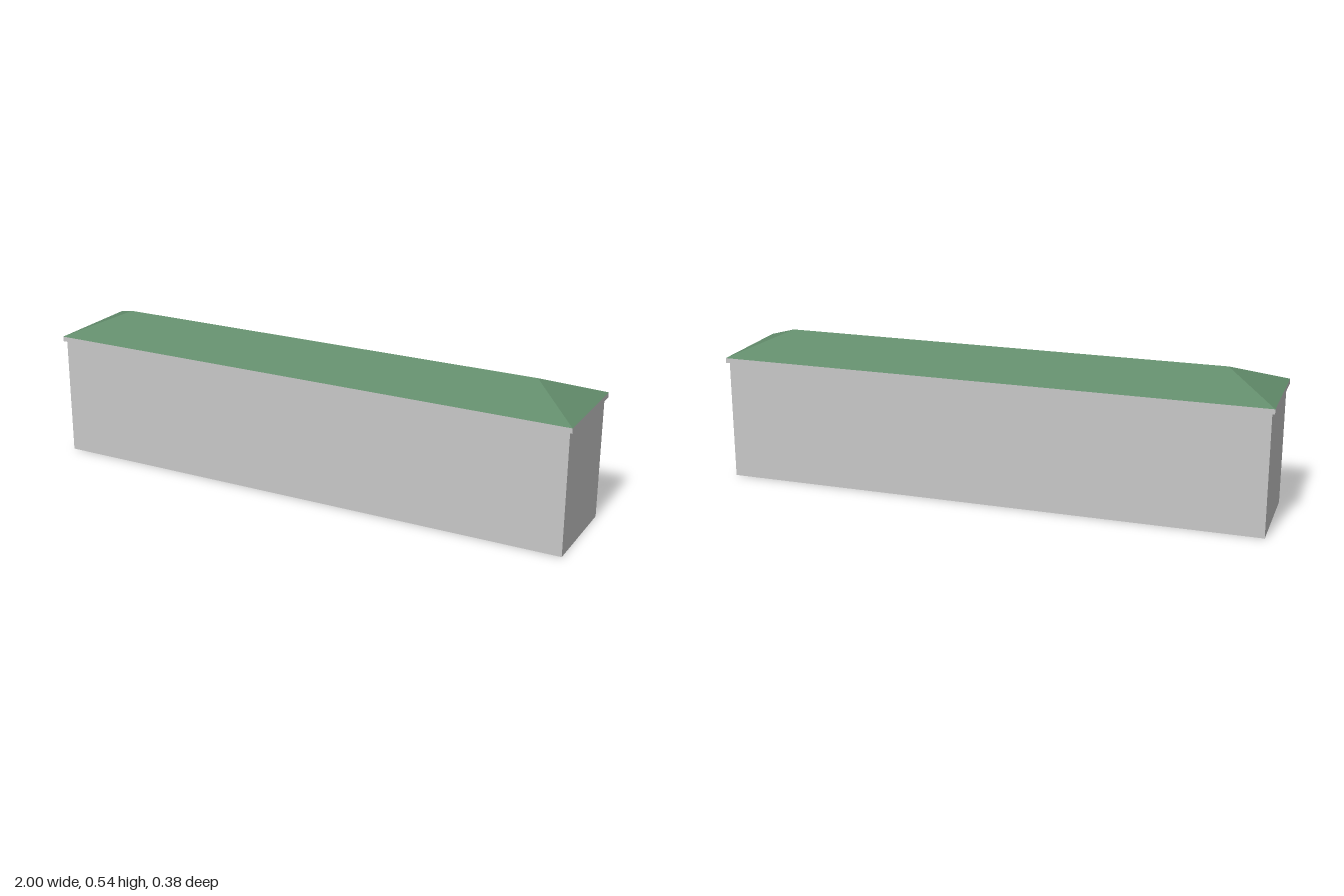
import * as THREE from 'three';

// Four corners of a level rectangle, counter-clockwise seen from above
const ring = (hx, y, hz) => [[-hx, y, hz], [hx, y, hz], [hx, y, -hz], [-hx, y, -hz]]
  .map((p) => new THREE.Vector3(...p));

// Flat-sided band joining a lower ring to an upper ring, facing outward
function band(lower, upper) {
  const points = [];
  for (let i = 0; i < 4; i++) {
    const j = (i + 1) % 4;
    points.push(lower[i], lower[j], upper[j]);
    // at a hip end the upper edge is a single point, so one triangle is enough
    if (upper[i].distanceTo(upper[j]) > 1e-6) points.push(lower[i], upper[j], upper[i]);
  }
  const geometry = new THREE.BufferGeometry().setFromPoints(points);
  geometry.computeVertexNormals();
  return geometry;
}

export function createModel() {
  const group = new THREE.Group();

  const wallGrey = new THREE.MeshStandardMaterial({ color: 0xc8c8c8, side: THREE.DoubleSide });
  wallGrey.name = 'wallGrey';
  const roofGreen = new THREE.MeshStandardMaterial({ color: 0x628c6b, side: THREE.DoubleSide });
  roofGreen.name = 'roofGreen';

  const base = ring(0.99, 0, 0.178);
  const wallTop = ring(0.99, 0.44, 0.178);
  const eaveBottom = ring(1, 0.44, 0.1875);
  const eaveTop = ring(1, 0.458, 0.1875);
  const ridge = ring(0.8125, 0.536, 0);

  const add = (name, lower, upper, material) => {
    const mesh = new THREE.Mesh(band(lower, upper), material);
    mesh.name = name;
    group.add(mesh);
  };

  // Hollow shell, open at the bottom
  add('walls', base, wallTop, wallGrey);
  add('eaveUnderside', wallTop, eaveBottom, wallGrey);
  add('eaveFascia', eaveBottom, eaveTop, wallGrey);
  // Hipped roof with a long ridge
  add('hipRoof', eaveTop, ridge, roofGreen);

  return group;
}
